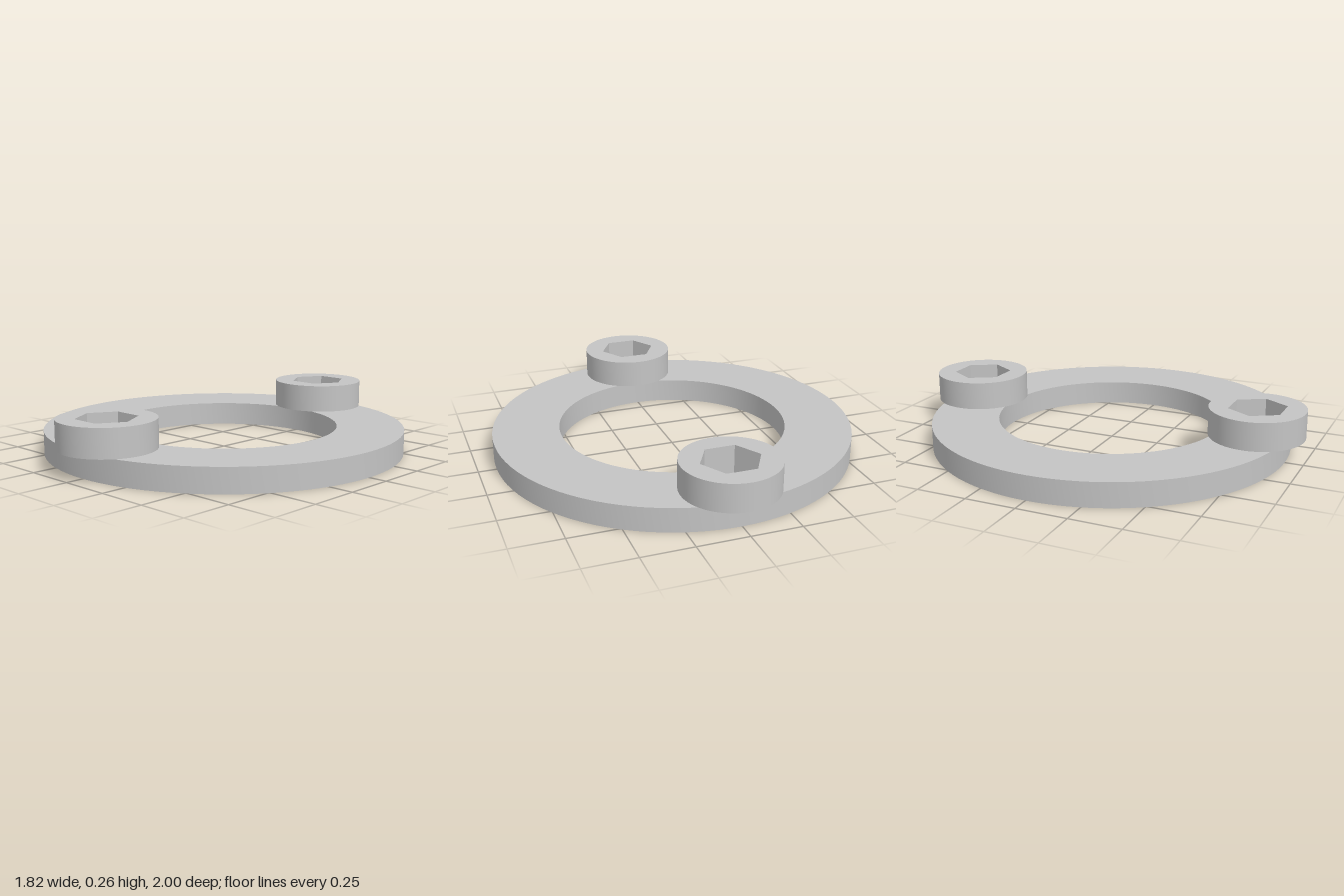
import * as THREE from 'three';
import { toCreasedNormals } from 'three/addons/utils/BufferGeometryUtils.js';

const RING_TOP = 0.12;
const BOSS_TOP = 0.26;
const BOSS_Z = 0.765;

function circle(radius, z = 0, Type = THREE.Path) {
  return new Type().absarc(0, z, radius, 0, Math.PI * 2, false);
}

// Hexagon with two corners on the x axis
function hexagon(radius) {
  const points = [];
  for (let i = 0; i < 6; i++) {
    const a = (i * Math.PI) / 3;
    points.push(new THREE.Vector2(radius * Math.cos(a), radius * Math.sin(a)));
  }
  return new THREE.Path(points);
}

// Upright plate from a shape drawn in the ground plane
function plate(shape, bottom, top) {
  const geometry = new THREE.ExtrudeGeometry(shape, {
    depth: top - bottom, bevelEnabled: false, curveSegments: 48,
  });
  geometry.rotateX(-Math.PI / 2);
  geometry.translate(0, bottom, 0);
  return toCreasedNormals(geometry, Math.PI / 6);
}

export function createModel() {
  const model = new THREE.Group();
  model.name = 'flangeRing';
  const steel = new THREE.MeshStandardMaterial({ color: 0xc4c4c4 });
  steel.name = 'grey steel';

  // Flat ring with two bolt holes
  const ringShape = circle(0.91, 0, THREE.Shape);
  ringShape.holes.push(circle(0.575), circle(0.072, BOSS_Z), circle(0.072, -BOSS_Z));
  const ring = new THREE.Mesh(plate(ringShape, 0, RING_TOP), steel);
  ring.name = 'ring';
  model.add(ring);

  // Round bosses with hexagonal sockets, front and back
  const bossShape = circle(0.235, 0, THREE.Shape);
  bossShape.holes.push(hexagon(0.146));
  const bossGeometry = plate(bossShape, RING_TOP, BOSS_TOP);
  for (const [name, side] of [['frontBoss', 1], ['backBoss', -1]]) {
    const boss = new THREE.Mesh(bossGeometry, steel);
    boss.name = name;
    boss.position.z = side * BOSS_Z;
    model.add(boss);
  }
  return model;
}
